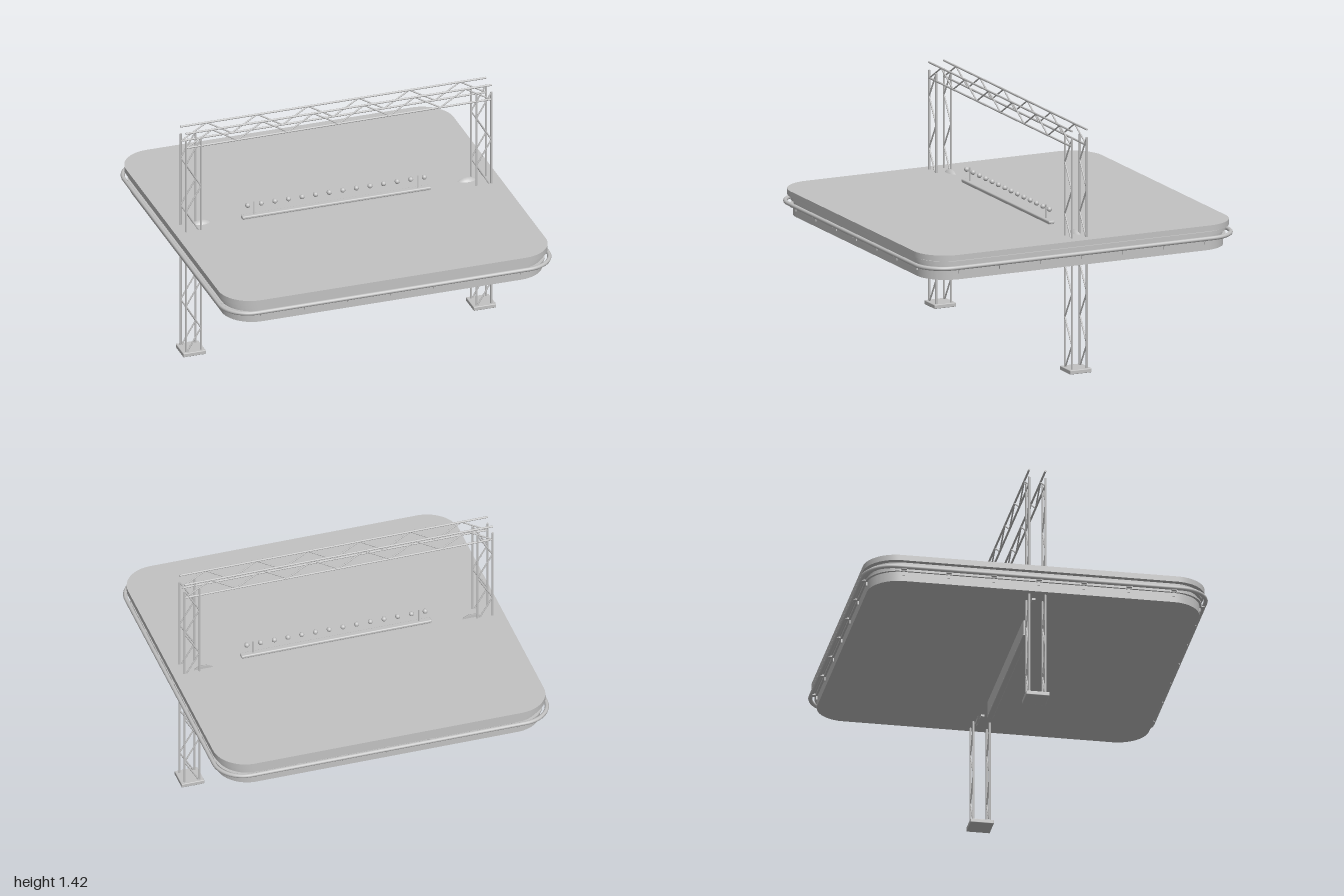
import * as THREE from 'three';
import { toCreasedNormals } from 'three/addons/utils/BufferGeometryUtils.js';
import { RoundedBoxGeometry } from 'three/addons/geometries/RoundedBoxGeometry.js';

const metal = new THREE.MeshStandardMaterial({ color: 0xc2c2c2 });
metal.name = 'lightGrey';

function add(parent, name, geometry, x = 0, y = 0, z = 0) {
  const mesh = new THREE.Mesh(geometry, metal);
  mesh.name = name;
  mesh.position.set(x, y, z);
  parent.add(mesh);
  return mesh;
}

function group(parent, name) {
  const g = new THREE.Group();
  g.name = name;
  parent.add(g);
  return g;
}

// Round bar between two points
function bar(parent, name, a, b, radius) {
  const from = new THREE.Vector3(...a), dir = new THREE.Vector3(...b).sub(from);
  const mesh = add(parent, name, new THREE.CylinderGeometry(radius, radius, dir.length(), 10));
  mesh.position.copy(from).addScaledVector(dir, 0.5);
  mesh.quaternion.setFromUnitVectors(new THREE.Vector3(0, 1, 0), dir.normalize());
  return mesh;
}

// Square plate with rounded corners, from y0 to y1
function plate(parent, name, half, radius, y0, y1) {
  const s = new THREE.Shape(), c = half - radius;
  s.absarc(c, c, radius, 0, Math.PI / 2);
  s.absarc(-c, c, radius, Math.PI / 2, Math.PI);
  s.absarc(-c, -c, radius, Math.PI, Math.PI * 1.5);
  s.absarc(c, -c, radius, Math.PI * 1.5, Math.PI * 2);
  s.closePath();
  const geo = new THREE.ExtrudeGeometry(s, { depth: y1 - y0, bevelEnabled: false, curveSegments: 14 });
  geo.rotateX(-Math.PI / 2);
  return add(parent, name, toCreasedNormals(geo, 0.5), 0, y0, 0);
}

export function createModel() {
  const model = new THREE.Group();
  model.name = 'trussPlatform';

  // Layered platform
  const platform = group(model, 'platform');
  plate(platform, 'topDeck', 0.985, 0.19, 0.757, 0.79);
  plate(platform, 'grooveCore', 0.955, 0.18, 0.70, 0.757);
  plate(platform, 'upperStrip', 0.97, 0.185, 0.73, 0.75);
  plate(platform, 'lowerFlange', 0.97, 0.185, 0.697, 0.706);
  plate(platform, 'lowerBody', 0.958, 0.18, 0.64, 0.697);

  // Bumper tube around the platform, with holding clips
  const bumper = group(model, 'bumper');
  const tube = 0.012, reach = 1 - tube, bend = 0.17, run = reach - bend, rimY = 0.715;
  for (let i = 0; i < 4; i++) {
    const side = group(bumper, 'bumperSide');
    side.rotation.y = i * Math.PI / 2;
    bar(side, 'bumperTube', [-run, rimY, reach], [run, rimY, reach], tube);
    const corner = new THREE.TorusGeometry(bend, tube, 10, 16, Math.PI / 2);
    corner.rotateX(Math.PI / 2);
    add(side, 'bumperCorner', corner, run, rimY, run);
    for (let k = -3; k <= 3; k++) {
      add(side, 'clipArm', new THREE.BoxGeometry(0.03, 0.008, 0.04), k * 0.26, 0.704, 0.97);
      add(side, 'clipFoot', new THREE.BoxGeometry(0.014, 0.03, 0.008), k * 0.26, 0.69, 0.961);
    }
  }

  // Two truss towers on base plates
  const depth = 0.047, chord = 0.0065, web = 0.0045;
  for (const side of [-1, 1]) {
    const tower = group(model, side < 0 ? 'rightTower' : 'leftTower');
    const cx = side * 0.873, w = 0.045;
    add(tower, 'basePlate', new RoundedBoxGeometry(0.136, 0.024, 0.136, 2, 0.004), cx, 0.012, 0);
    for (const z of [-depth, depth]) {
      for (const x of [-w, w]) bar(tower, 'towerChord', [cx + x, 0.02, z], [cx + x, 1.372, z], chord);
      for (let i = 0; i < 9; i++) {
        const s = i % 2 ? 1 : -1;
        bar(tower, 'towerBrace', [cx + s * w, 0.012 + i * 0.151, z], [cx - s * w, 0.012 + (i + 1) * 0.151, z], web);
      }
    }
  }

  // Overhead beam made of two flat trusses
  const beam = group(model, 'overheadBeam');
  const low = 1.326, high = 1.417;
  for (const z of [-depth, depth]) {
    for (const y of [low, high]) bar(beam, 'beamChord', [-0.92, y, z], [0.92, y, z], 0.006);
    for (let i = 0; i < 12; i++) {
      const x = -0.915 + i * 0.1525;
      bar(beam, 'beamBrace', [x, i % 2 ? high : low, z], [x + 0.1525, i % 2 ? low : high, z], web);
    }
  }

  // Domed lamps beside the towers, each with a mounting bar
  for (const side of [-1, 1]) {
    const lamp = group(model, 'domeLamp');
    const dome = new THREE.SphereGeometry(0.094, 28, 10, 0, Math.PI * 2, 0, Math.PI / 2);
    dome.rotateX(Math.PI / 2);
    dome.scale(1, 1, 0.55);
    add(lamp, 'lampDome', dome, side * 0.8, 0.715, -0.036);
    const back = new THREE.CircleGeometry(0.094, 28);
    back.rotateY(Math.PI);
    add(lamp, 'lampBack', back, side * 0.8, 0.715, -0.036);
    add(lamp, 'lampBar', new THREE.BoxGeometry(0.145, 0.014, 0.02), side * 0.795, 0.635, -0.012);
  }

  // Central hanging panel with edge rails
  const panel = group(model, 'centrePanel');
  add(panel, 'panelBody', new RoundedBoxGeometry(1.128, 0.264, 0.032, 3, 0.008), 0, 0.676, 0);
  add(panel, 'panelTopRail', new RoundedBoxGeometry(1.136, 0.018, 0.038, 3, 0.007), 0, 0.802, 0);
  add(panel, 'panelBottomRail', new RoundedBoxGeometry(1.134, 0.01, 0.036, 2, 0.004), 0, 0.549, 0);

  // Row of small globes between two pins
  const globes = group(model, 'globeRow');
  for (let i = 0; i < 14; i++) {
    add(globes, 'globe', new THREE.SphereGeometry(0.0145, 16, 12), (i - 6.5) * 0.0817, 0.871, 0);
  }
  for (const x of [-0.493, 0.493]) bar(globes, 'globePin', [x, 0.8, 0], [x, 0.89, 0], 0.004);

  return model;
}
